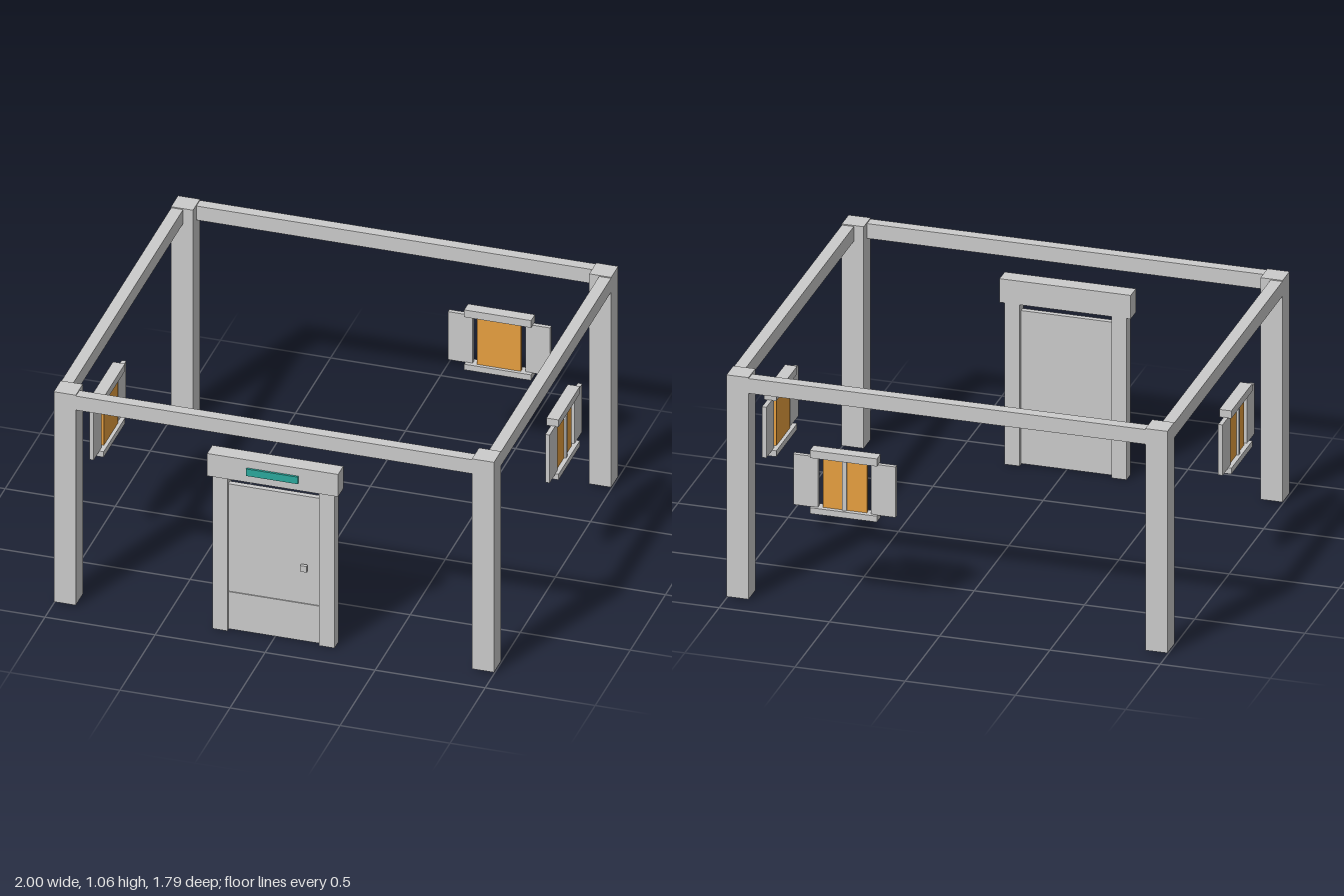
import * as THREE from 'three';

const grey = new THREE.MeshStandardMaterial({ color: 0xcccccc, flatShading: true });
const amber = new THREE.MeshStandardMaterial({ color: 0xe8a040, flatShading: true });
const teal = new THREE.MeshStandardMaterial({ color: 0x2aa89c, flatShading: true });

// Box given by its extents on each axis
function box(parent, name, [x0, x1], [y0, y1], [z0, z1], material = grey) {
  const mesh = new THREE.Mesh(new THREE.BoxGeometry(x1 - x0, y1 - y0, z1 - z0), material);
  mesh.position.set((x0 + x1) / 2, (y0 + y1) / 2, (z0 + z1) / 2);
  mesh.name = name;
  parent.add(mesh);
  return mesh;
}

// Shuttered window facing +z, centred on its own origin
function createWindow(name) {
  const g = new THREE.Group();
  g.name = name;
  box(g, 'pane', [-0.1, 0.1], [-0.12, 0.12], [-0.012, 0.006], amber);
  box(g, 'mullion', [-0.01, 0.01], [-0.12, 0.12], [0.004, 0.016]);
  box(g, 'windowHead', [-0.152, 0.152], [0.118, 0.154], [-0.028, 0.027]);
  box(g, 'windowSill', [-0.152, 0.152], [-0.146, -0.118], [-0.028, 0.027]);
  for (const s of [-1, 1]) {
    const shutter = box(g, 'shutter', [-0.056, 0.056], [-0.12, 0.12], [-0.008, 0.012]);
    shutter.position.x = s * 0.176;
  }
  return g;
}

function createDoor() {
  const g = new THREE.Group();
  g.name = 'door';
  // Frame
  box(g, 'leftJamb', [0.205, 0.275], [0, 0.77], [0.815, 0.873]);
  box(g, 'rightJamb', [-0.28, -0.212], [0, 0.77], [0.815, 0.873]);
  box(g, 'lintel', [-0.3, 0.295], [0.768, 0.88], [0.81, 0.885]);
  box(g, 'sign', [-0.12, 0.115], [0.805, 0.84], [0.88, 0.895], teal);
  // Leaf with a slightly recessed middle panel
  box(g, 'doorLeaf', [-0.212, 0.205], [0.004, 0.73], [0.835, 0.855]);
  box(g, 'bottomRail', [-0.212, 0.205], [0.004, 0.19], [0.854, 0.86]);
  box(g, 'topRail', [-0.212, 0.205], [0.595, 0.73], [0.854, 0.86]);
  // Handle
  box(g, 'knobStem', [0.127, 0.143], [0.367, 0.383], [0.854, 0.866]);
  box(g, 'knob', [0.12, 0.15], [0.36, 0.39], [0.864, 0.88]);
  return g;
}

export function createModel() {
  const model = new THREE.Group();
  model.name = 'houseFrame';

  // Corner posts
  for (const x of [[-1, -0.9], [0.9, 1]]) {
    for (const z of [[-0.895, -0.795], [0.775, 0.875]]) {
      box(model, 'cornerPost', x, [0.008, 1.06], z);
    }
  }

  // Roof beams, flush with the outer post faces
  const beamY = [0.985, 1.055];
  box(model, 'frontBeam', [-0.95, 0.95], beamY, [0.822, 0.874]);
  box(model, 'backBeam', [-0.95, 0.95], beamY, [-0.894, -0.842]);
  box(model, 'leftBeam', [0.945, 0.999], beamY, [-0.85, 0.83]);
  box(model, 'rightBeam', [-0.999, -0.945], beamY, [-0.85, 0.83]);

  model.add(createDoor());

  // Windows on the three remaining walls, facing outwards
  const windows = [
    ['backWindow', 0.47, -0.867, Math.PI],
    ['leftWindow', 0.968, -0.213, Math.PI / 2],
    ['rightWindow', -0.968, 0.2, -Math.PI / 2],
  ];
  for (const [name, x, z, turn] of windows) {
    const w = createWindow(name);
    w.position.set(x, 0.598, z);
    w.rotation.y = turn;
    model.add(w);
  }
  return model;
}
